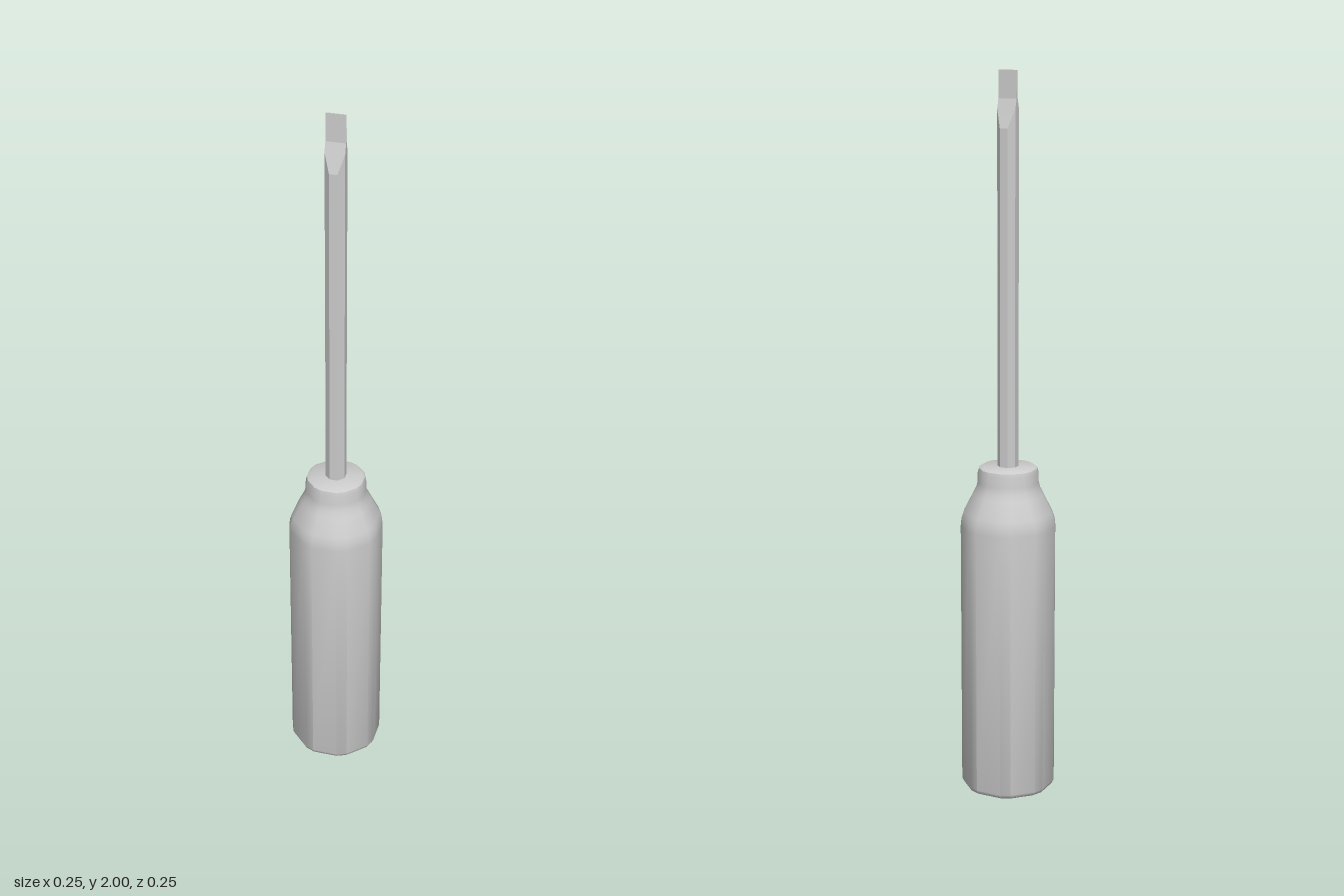
import * as THREE from 'three';
import { toCreasedNormals } from 'three/addons/utils/BufferGeometryUtils.js';

// Joins closed rings of Vector3 from bottom to top and caps both ends.
function loft(rings, crease) {
  const pos = [];
  const tri = (a, b, c) => {
    const area = b.clone().sub(a).cross(c.clone().sub(a)).length();
    if (area > 1e-9) for (const p of [a, b, c]) pos.push(p.x, p.y, p.z);
  };
  const n = rings[0].length;
  const last = rings.length - 1;
  const low = new THREE.Vector3(0, rings[0][0].y, 0);
  const high = new THREE.Vector3(0, rings[last][0].y, 0);
  for (let i = 0; i < n; i++) {
    const k = (i + 1) % n;
    for (let j = 0; j < last; j++) {
      tri(rings[j][i], rings[j + 1][i], rings[j][k]);
      tri(rings[j][k], rings[j + 1][i], rings[j + 1][k]);
    }
    tri(low, rings[0][i], rings[0][k]);
    tri(high, rings[last][k], rings[last][i]);
  }
  const geometry = new THREE.BufferGeometry();
  geometry.setAttribute('position', new THREE.Float32BufferAttribute(pos, 3));
  return toCreasedNormals(geometry, crease);
}

// Octagon with bevelled corners; r is the distance to a flat side.
function handleRing(y, r, bevelDegrees) {
  const ring = [];
  for (let i = 0; i < 8; i++) {
    for (const side of [-1, 1]) {
      const half = THREE.MathUtils.degToRad(22.5 - bevelDegrees);
      const a = THREE.MathUtils.degToRad(22.5 + i * 45 + side * bevelDegrees);
      const d = r / Math.cos(half);
      ring.push(new THREE.Vector3(Math.cos(a) * d, y, Math.sin(a) * d));
    }
  }
  return ring;
}

// Octagonal shaft section cut to a half thickness h in z.
function shaftRing(y, h) {
  const r = 0.0265, c = 0.011;
  const z = Math.min(h, c);
  const x = h > c ? r - (h - c) : r;
  return [[r, -z], [r, z], [x, h], [-x, h], [-r, z], [-r, -z], [-x, -h], [x, -h]]
    .map(([px, pz]) => new THREE.Vector3(px, y, pz));
}

export function createModel() {
  const model = new THREE.Group();
  const grey = new THREE.MeshStandardMaterial({ color: 0xcccccc });
  grey.name = 'light grey';

  // Handle: height, half width, corner bevel
  const profile = [
    [0, 0.114, 6.5], [0.004, 0.121, 6.5], [0.014, 0.126, 6.5],
    [0.765, 0.126, 6.5], [0.785, 0.124, 6.5], [0.805, 0.118, 6.8],
    [0.855, 0.094, 7.5], [0.872, 0.086, 8], [0.89, 0.082, 8.5],
    [0.918, 0.081, 8.5], [0.929, 0.078, 8.5], [0.934, 0.07, 8.5],
  ];
  const handle = new THREE.Mesh(loft(profile.map((p) => handleRing(...p)), 0.6), grey);
  handle.name = 'handle';

  // Shaft with a flat wedge tip: height, half thickness
  const cuts = [[0.92, 0.0265], [1.85, 0.0265], [1.9, 0.011], [1.926, 0.003], [2, 0.0015]];
  const shaft = new THREE.Mesh(loft(cuts.map((c) => shaftRing(...c)), 0.1), grey);
  shaft.name = 'shaftAndTip';

  model.add(handle, shaft);
  return model;
}
